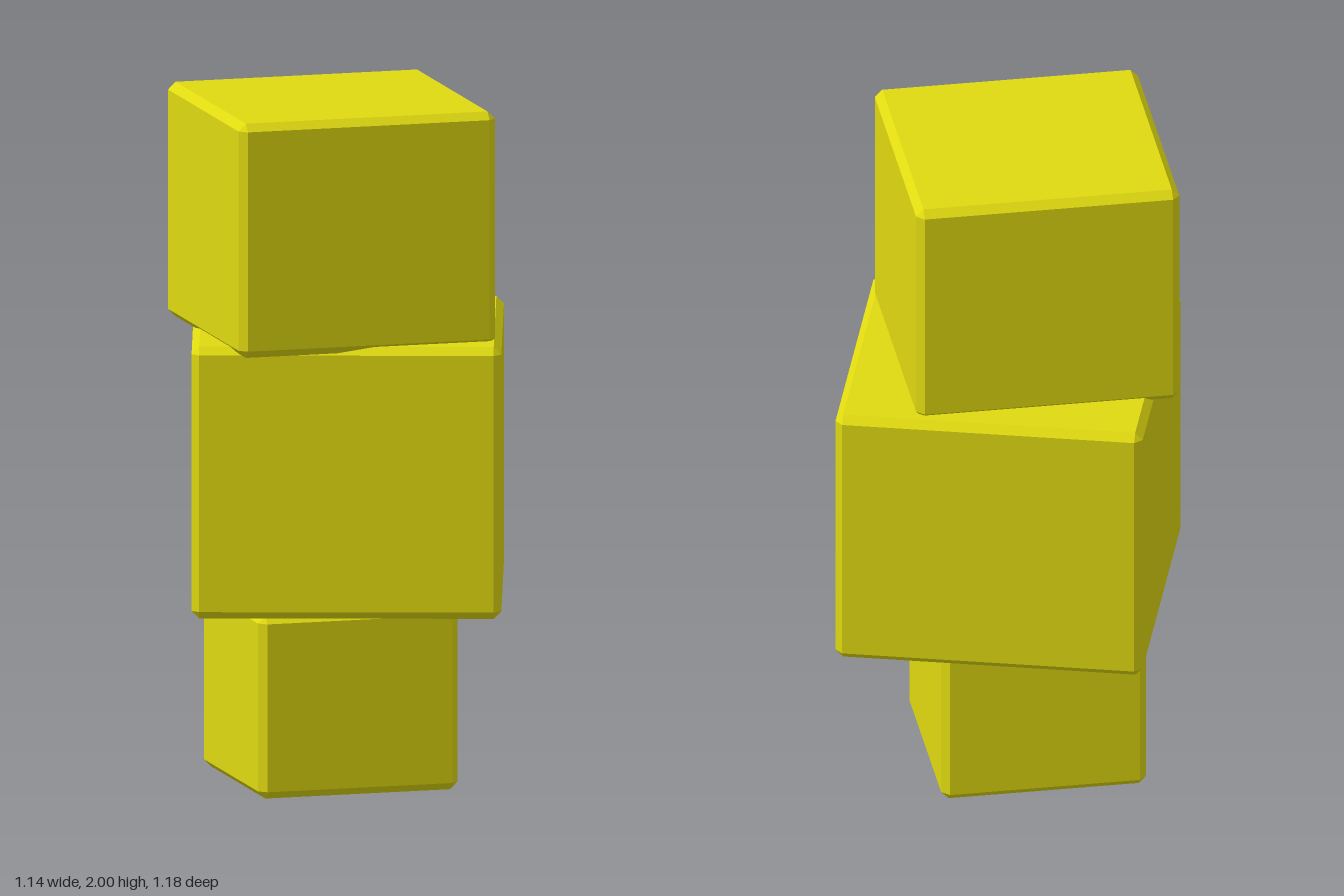
import * as THREE from 'three';
import { ConvexGeometry } from 'three/addons/geometries/ConvexGeometry.js';

const CHAMFER = 0.022;

// Box with every edge cut by a flat chamfer: three points around each corner
function chamferedBox(width, height, depth, c) {
  const half = [width / 2, height / 2, depth / 2];
  const points = [];
  for (const sx of [-1, 1]) for (const sy of [-1, 1]) for (const sz of [-1, 1]) {
    const signs = [sx, sy, sz];
    for (let outer = 0; outer < 3; outer++) {
      points.push(new THREE.Vector3(...signs.map((s, i) => s * (half[i] - (i === outer ? 0 : c)))));
    }
  }
  return new ConvexGeometry(points);
}

export function createModel() {
  const model = new THREE.Group();
  model.name = 'blockStack';
  const yellow = new THREE.MeshStandardMaterial({ color: 0xe0da10, flatShading: true });

  // Three twisted blocks, each slightly sunk into its neighbour
  const blocks = [
    { name: 'bottomBlock', size: 0.601, y0: 0, y1: 0.537, x: -0.022, z: 0.065, turn: 37.3 },
    { name: 'middleBlock', size: 0.896, y0: 0.53, y1: 1.328, x: -0.002, z: -0.02, turn: 20.5 },
    { name: 'topBlock', size: 0.772, y0: 1.312, y1: 2, x: -0.022, z: 0.06, turn: 37.3 },
  ];
  for (const b of blocks) {
    const mesh = new THREE.Mesh(chamferedBox(b.size, b.y1 - b.y0, b.size, CHAMFER), yellow);
    mesh.name = b.name;
    mesh.position.set(b.x, (b.y0 + b.y1) / 2, b.z);
    mesh.rotation.y = THREE.MathUtils.degToRad(b.turn);
    model.add(mesh);
  }
  return model;
}
